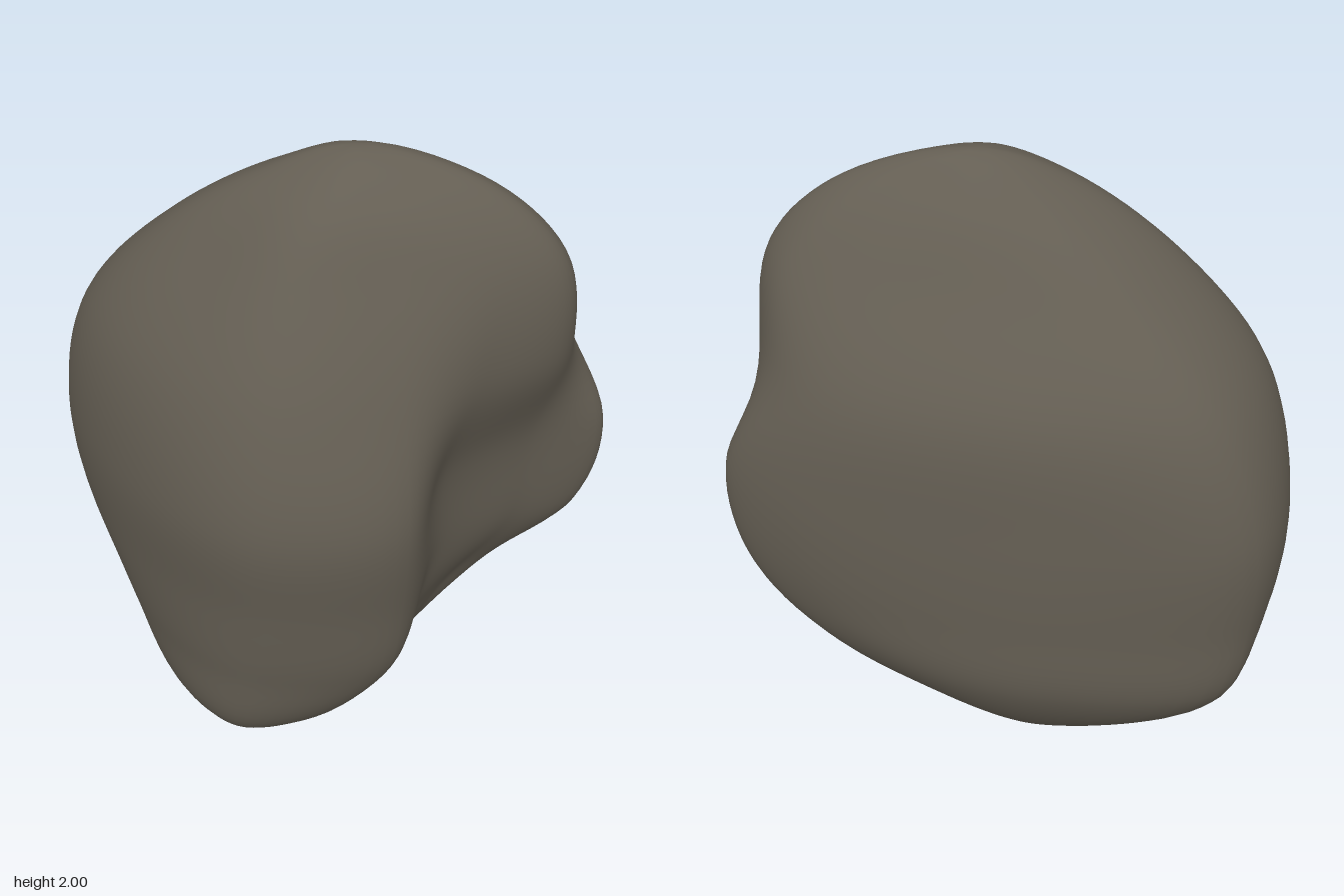
import * as THREE from 'three';
import { mergeVertices } from 'three/addons/utils/BufferGeometryUtils.js';

// Horizontal sections [x, z], running: back, back right, right lobe, lobe front,
// hollow, ridge edge, front ridge, front left, left rim, back left.
const LEVELS = [0.17, 0.45, 0.72, 1.05, 1.4, 1.7, 1.9];
const SECTIONS = [
  [-.12, -.31, .05, -.27, .18, -.15, .19, .0, .17, .15, .08, .3, -.12, .4, -.33, .28, -.43, .05, -.36, -.22],
  [-.17, -.5, .24, -.465, .49, -.34, .39, -.16, .32, .07, .32, .31, -.08, .47, -.47, .27, -.63, -.05, -.68, -.36],
  [-.2, -.525, .47, -.49, .74, -.35, .57, -.2, .4, .02, .37, .33, -.03, .505, -.48, .32, -.755, -.03, -.74, -.37],
  [-.2, -.525, .54, -.49, .8, -.34, .61, -.17, .42, .07, .39, .36, 0, .54, -.42, .39, -.785, 0, -.745, -.38],
  [-.15, -.49, .44, -.465, .65, -.34, .71, -.13, .52, .09, .35, .29, 0, .45, -.37, .34, -.7, .02, -.62, -.34],
  [0, -.33, .4, -.315, .61, -.25, .68, -.12, .52, .04, .3, .18, 0, .29, -.24, .2, -.45, .02, -.35, -.23],
  [.08, -.2, .28, -.19, .42, -.165, .48, -.1, .36, .01, .22, .09, .06, .14, -.08, .09, -.17, 0, -.1, -.13],
];
const BOTTOM = new THREE.Vector3(-0.1, 0, 0);
const TOP = new THREE.Vector3(0.1, 2, -0.05);
const COLUMNS = 10, ROWS = 64, AROUND = 90;

const sectionPoint = (level, c) => new THREE.Vector3(
  SECTIONS[level][c * 2], LEVELS[level], SECTIONS[level][c * 2 + 1]);

// A vertical curve; it carries on past both tips so that they come out rounded.
function columnCurve(c) {
  const opposite = (c + COLUMNS / 2) % COLUMNS;
  const last = LEVELS.length - 1;
  return new THREE.CatmullRomCurve3([
    sectionPoint(0, opposite), BOTTOM,
    ...LEVELS.map((_, level) => sectionPoint(level, c)),
    TOP, sectionPoint(last, opposite),
  ]);
}

// Skin the vertical curves with closed smooth rings.
function boulderGeometry() {
  const columns = Array.from({ length: COLUMNS }, (_, c) => columnCurve(c));
  const spans = LEVELS.length + 3;
  const positions = [], index = [];
  for (let r = 0; r <= ROWS; r++) {
    const t = (1 + (r / ROWS) * (spans - 2)) / spans;
    const tip = r === 0 ? BOTTOM : r === ROWS ? TOP : null;
    const ring = tip ? null : new THREE.CatmullRomCurve3(columns.map((c) => c.getPoint(t)), true);
    for (let i = 0; i < AROUND; i++) {
      const p = tip || ring.getPoint(i / AROUND);
      positions.push(p.x, p.y, p.z);
      if (r === ROWS) continue;
      const a = r * AROUND + i, b = r * AROUND + (i + 1) % AROUND;
      if (r < ROWS - 1) index.push(a, a + AROUND, b + AROUND);
      if (r > 0) index.push(a, b + AROUND, b);
    }
  }
  const geometry = new THREE.BufferGeometry();
  geometry.setAttribute('position', new THREE.Float32BufferAttribute(positions, 3));
  geometry.setIndex(index);
  const merged = mergeVertices(geometry, 1e-5);
  merged.computeVertexNormals();
  return merged;
}

export function createModel() {
  const group = new THREE.Group();
  group.name = 'rock';
  const boulder = new THREE.Mesh(boulderGeometry(), new THREE.MeshStandardMaterial({ color: 0x645e53 }));
  boulder.name = 'boulder';
  group.add(boulder);
  return group;
}
